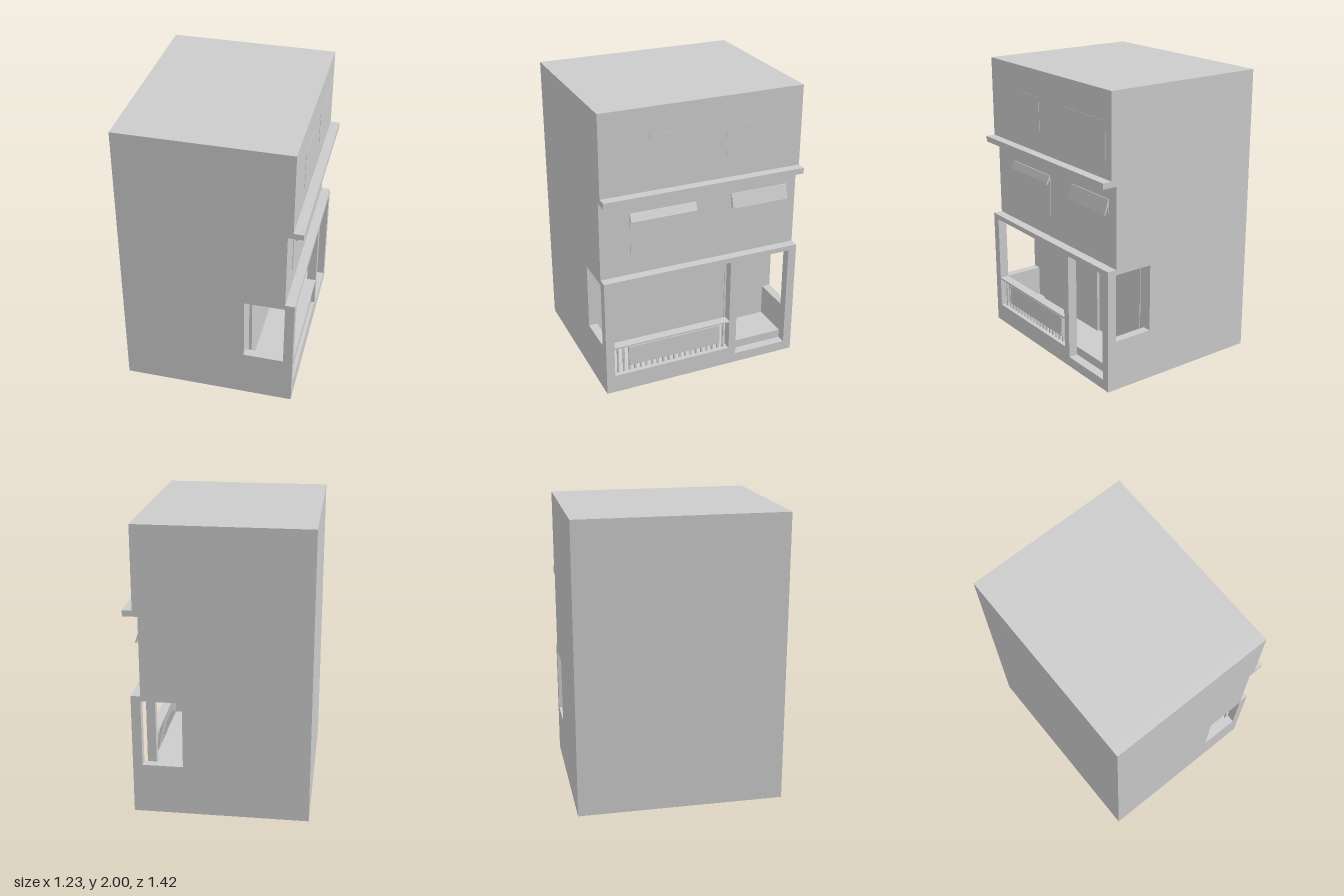
import * as THREE from 'three';

const material = new THREE.MeshStandardMaterial({ color: 0xcccccc, flatShading: true });

// Box given by its limits on each axis
function block(name, [x0, x1], [y0, y1], [z0, z1]) {
  const mesh = new THREE.Mesh(new THREE.BoxGeometry(x1 - x0, y1 - y0, z1 - z0), material);
  mesh.position.set((x0 + x1) / 2, (y0 + y1) / 2, (z0 + z1) / 2);
  mesh.name = name;
  return mesh;
}

// Slice of the house: an xy section extruded along z
function slice(name, shape, z0, z1) {
  const geometry = new THREE.ExtrudeGeometry(shape, { depth: z1 - z0, bevelEnabled: false });
  geometry.translate(0, 0, z0);
  const mesh = new THREE.Mesh(geometry, material);
  mesh.name = name;
  return mesh;
}

const polygon = (points) => new THREE.Shape(points.map(([x, y]) => new THREE.Vector2(x, y)));

// Sloping thin canopy hinged on the upper storey wall
function awning(name, z0, z1, yTop, yBottom, reach) {
  const shape = polygon([
    [0.51, yTop], [0.516, yTop], [0.51 + reach, yBottom + 0.008],
    [0.51 + reach, yBottom], [0.502 + reach, yBottom], [0.51, yTop - 0.02],
  ].reverse());
  return slice(name, shape, z0, z1);
}

export function createModel() {
  const model = new THREE.Group();
  model.name = 'house';
  const back = -0.615, wall = 0.235, inner = 0.51, face = 0.575;
  const half = 0.71, inside = 0.65;

  // Upper outline, shared by the core and the side walls
  const upper = [
    [face, 0.85], [inner, 0.85], [inner, 1.4], [0.61, 1.4], [0.61, 1.44],
    [0.545, 1.44], [0.545, 2], [back, 2],
  ];

  // Core with the porch cut out of it
  const core = polygon([
    [back, 0], [inner, 0], [inner, 0.13], [wall, 0.13], [wall, 0.815], [face, 0.815], ...upper,
  ]);
  model.add(slice('core', core, -inside, inside));

  // Side walls, each with a porch window opening
  const side = polygon([[back, 0], [face, 0], ...upper]);
  side.holes.push(new THREE.Path([
    new THREE.Vector2(wall, 0.35), new THREE.Vector2(wall, 0.815),
    new THREE.Vector2(inner, 0.815), new THREE.Vector2(inner, 0.35),
  ]));
  model.add(slice('leftSideWall', side, inside, half));
  model.add(slice('rightSideWall', side, -half, -inside));

  // Porch front: pillar and the sills below both openings
  model.add(block('porchPillar', [inner, face], [0, 0.815], [-0.26, -0.205]));
  model.add(block('balconySill', [inner, face], [0, 0.13], [-0.205, inside]));
  model.add(block('entranceSill', [inner, face], [0, 0.07], [-inside, -0.26]));

  // Railing: handrail, lower bar, balusters and a front panel
  const railing = new THREE.Group();
  railing.name = 'railing';
  railing.add(block('handrail', [inner, face], [0.338, 0.35], [-0.205, inside]));
  for (let i = 0; i < 20; i++) {
    const z = 0.615 - i * 0.0415;
    railing.add(block('baluster', [0.535, 0.547], [0.13, 0.338], [z - 0.006, z + 0.006]));
  }
  railing.add(block('railingPanel', [0.549, 0.557], [0.175, 0.32], [-0.14, 0.54]));
  for (const y of [0.19, 0.305]) {
    for (const z of [-0.125, 0.525]) {
      railing.add(block('panelFixing', [0.547, 0.56], [y - 0.006, y + 0.006], [z - 0.006, z + 0.006]));
    }
  }
  model.add(railing);

  // Wall features inside the porch
  model.add(block('porchWindow', [wall, 0.255], [0.13, 0.735], [-0.145, 0.55]));
  model.add(block('frontDoor', [wall, 0.24], [0.13, 0.79], [-0.61, -0.33]));

  // Middle storey windows and awnings
  model.add(block('middleWindowLarge', [inner, 0.514], [1.0, 1.29], [0.035, 0.5]));
  model.add(block('middleWindowSmall', [inner, 0.514], [1.2, 1.3], [-0.635, -0.225]));
  model.add(awning('awningLarge', 0.035, 0.5, 1.29, 1.23, 0.03));
  model.add(awning('awningSmall', -0.635, -0.225, 1.3, 1.195, 0.037));

  // Top storey windows, almost flush with the wall
  model.add(block('topWindowLeft', [0.545, 0.547], [1.56, 1.82], [0.1, 0.37]));
  model.add(block('topWindowRight', [0.545, 0.547], [1.56, 1.81], [-0.65, -0.16]));

  return model;
}
